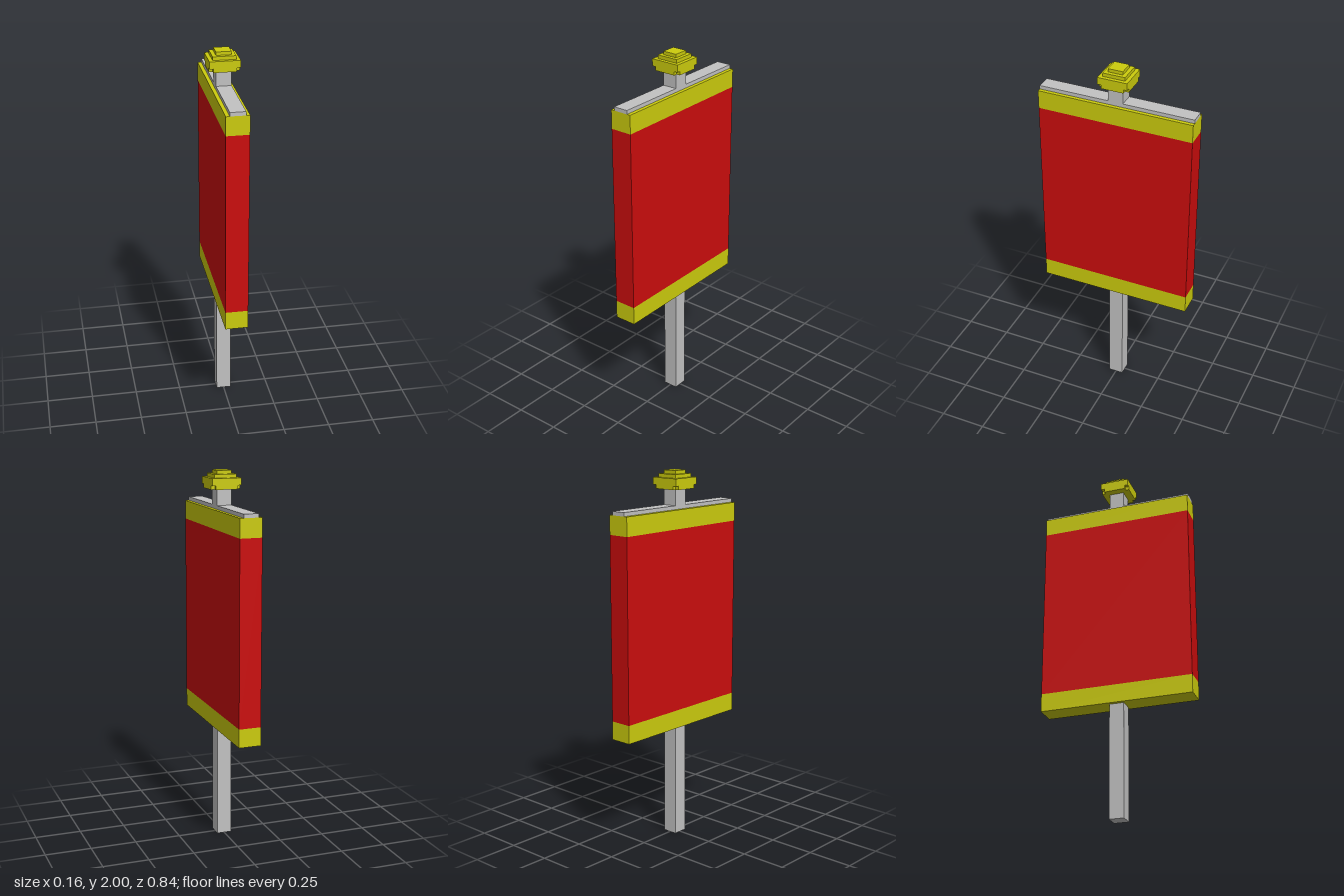
import * as THREE from 'three';

const red = new THREE.MeshStandardMaterial({ name: 'bannerRed', color: 0xcb0d0d });
const gold = new THREE.MeshStandardMaterial({ name: 'trimYellow', color: 0xcbcb0d });
const grey = new THREE.MeshStandardMaterial({ name: 'poleGrey', color: 0xc2c2c2 });

// Box spanning y0..y1, centred on x and z
function slab(name, w, d, y0, y1, material) {
  const mesh = new THREE.Mesh(new THREE.BoxGeometry(w, y1 - y0, d), material);
  mesh.name = name;
  mesh.position.y = (y0 + y1) / 2;
  return mesh;
}

// Square finial: a cap with notched lower corners and two steps above
function createFinial() {
  const finial = new THREE.Group();
  finial.name = 'finial';

  // Plus-shaped base, extruded upwards
  const a = 0.08, b = 0.06;
  const outline = [[a, -b], [a, b], [b, b], [b, a], [-b, a], [-b, b],
    [-a, b], [-a, -b], [-b, -b], [-b, -a], [b, -a], [b, -b]];
  const shape = new THREE.Shape(outline.map(([x, y]) => new THREE.Vector2(x, y)));
  const geometry = new THREE.ExtrudeGeometry(shape, { depth: 0.02, bevelEnabled: false });
  geometry.rotateX(-Math.PI / 2);
  const base = new THREE.Mesh(geometry, gold);
  base.name = 'finialBase';
  base.position.y = 1.905;
  finial.add(base);

  finial.add(slab('finialCap', 0.16, 0.16, 1.925, 1.963, gold));
  finial.add(slab('finialStep', 0.12, 0.12, 1.963, 1.982, gold));
  finial.add(slab('finialTop', 0.08, 0.08, 1.982, 2, gold));
  return finial;
}

export function createModel() {
  const model = new THREE.Group();
  model.name = 'banner';

  // Pole below and above the cloth, with the crossbar along the top
  model.add(slab('lowerPole', 0.08, 0.08, 0, 0.62, grey));
  model.add(slab('crossbar', 0.08, 0.84, 1.8, 1.82, grey));
  model.add(slab('upperPole', 0.08, 0.08, 1.82, 1.905, grey));

  // Cloth panel with a trim band at each end
  model.add(slab('lowerTrim', 0.12, 0.84, 0.62, 0.72, gold));
  model.add(slab('cloth', 0.12, 0.84, 0.72, 1.7, red));
  model.add(slab('upperTrim', 0.12, 0.84, 1.7, 1.8, gold));

  model.add(createFinial());
  return model;
}
